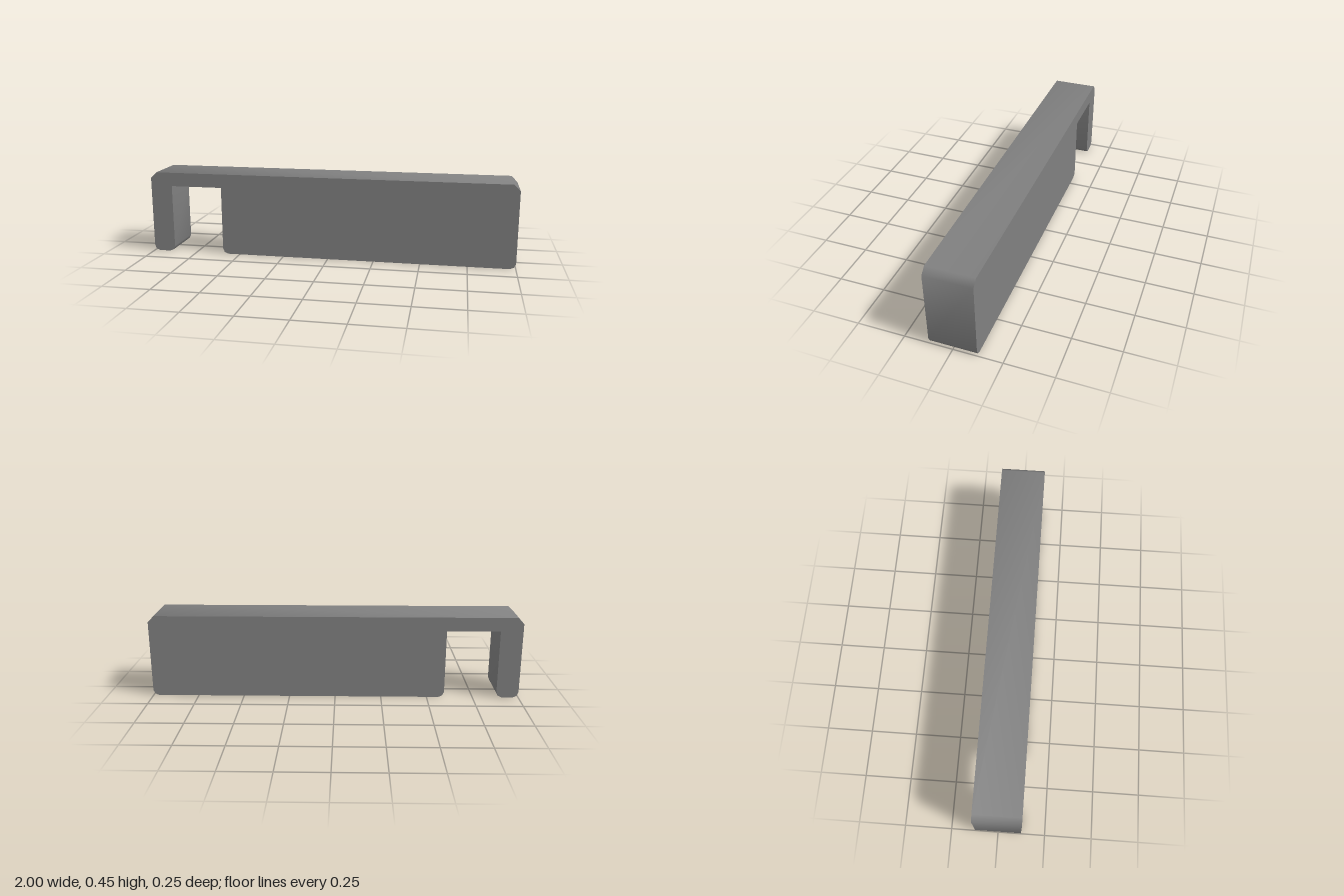
import * as THREE from 'three';
import { toCreasedNormals } from 'three/addons/utils/BufferGeometryUtils.js';

export function createModel() {
  const group = new THREE.Group();
  group.name = 'notchedBar';

  const grey = new THREE.MeshStandardMaterial({ color: 0x808080 });
  grey.name = 'grey';

  const height = 0.45, depth = 0.246;
  const notchLeft = -0.88, notchRight = -0.595, notchTop = 0.375;
  const bevel = 0.033; // top corners
  const r = 0.03, m = 0.009; // eased bottom corners

  // Foot with two eased bottom corners, listed from left to right
  const foot = (x0, x1) => [
    [x0, r], [x0 + m, m], [x0 + r, 0],
    [x1 - r, 0], [x1 - m, m], [x1, r],
  ];

  // Side outline, counter-clockwise: narrow leg, notch, long block, bevelled top
  const outline = [
    ...foot(-1, notchLeft),
    [notchLeft, notchTop], [notchRight, notchTop],
    ...foot(notchRight, 1),
    [1, height - bevel], [1 - bevel, height],
    [-1 + bevel, height], [-1, height - bevel],
  ].map(([x, y]) => new THREE.Vector2(x, y));

  const extruded = new THREE.ExtrudeGeometry(new THREE.Shape(outline), {
    depth, bevelEnabled: false,
  });
  extruded.translate(0, 0, -depth / 2);

  // Smooth across the eased corners, sharp at the square edges
  const body = new THREE.Mesh(toCreasedNormals(extruded, THREE.MathUtils.degToRad(50)), grey);
  body.name = 'barBody';
  group.add(body);

  return group;
}
